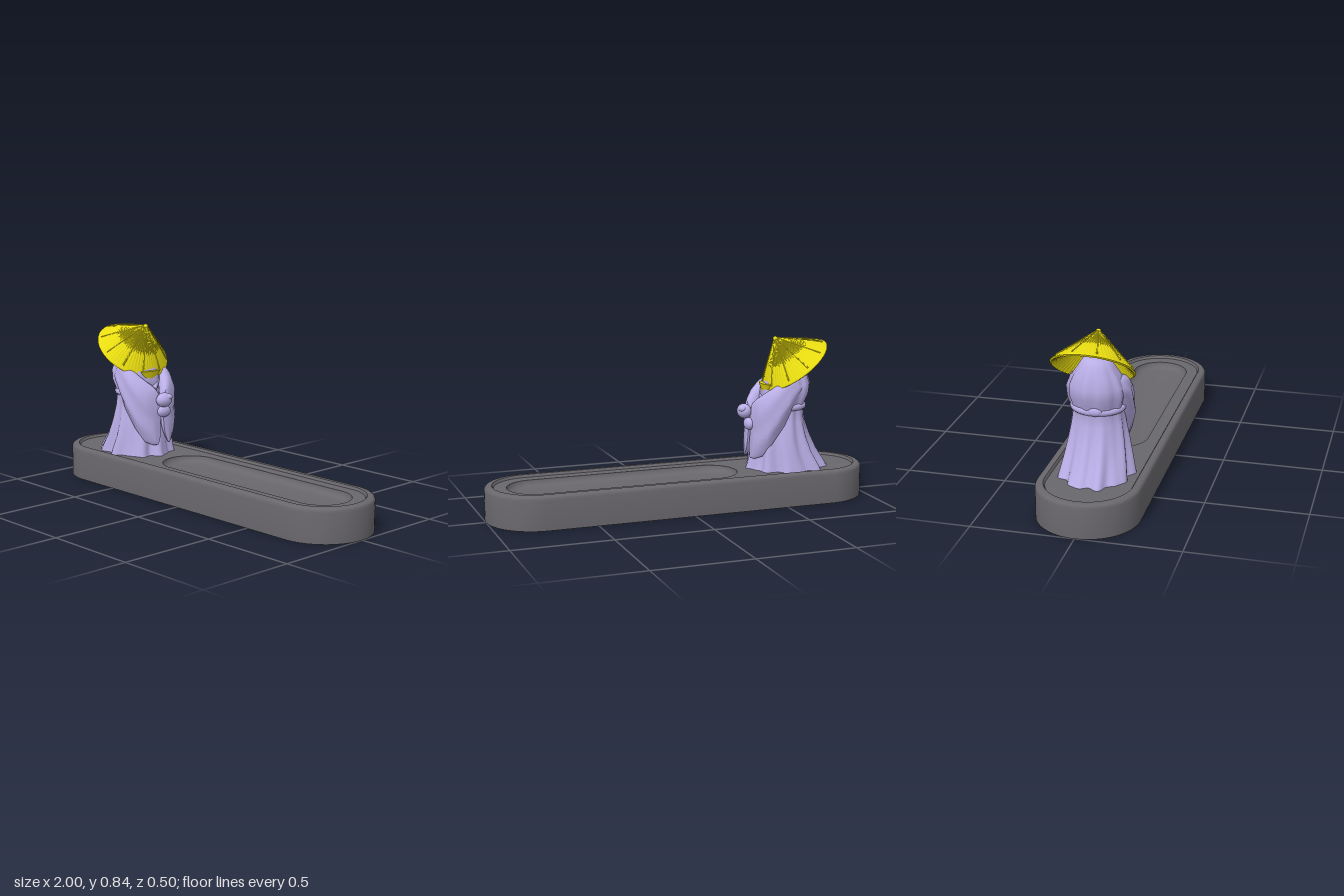
import * as THREE from 'three';
import { toCreasedNormals } from 'three/addons/utils/BufferGeometryUtils.js';

const stone = new THREE.MeshStandardMaterial({ color: 0x69676c });
const cloth = new THREE.MeshStandardMaterial({ color: 0xb9aee6 });
const straw = new THREE.MeshStandardMaterial({ color: 0xe8dc10, side: THREE.DoubleSide });

// Skin a list of closed rings (each a list of Vector3) and cap both ends.
function loft(rings, crease) {
  const n = rings[0].length, pos = [], idx = [];
  rings.forEach(r => r.forEach(p => pos.push(p.x, p.y, p.z)));
  for (let i = 0; i < rings.length - 1; i++) {
    for (let j = 0; j < n; j++) {
      const a = i * n + j, b = i * n + (j + 1) % n, c = a + n, d = b + n;
      idx.push(a, c, b, b, c, d);
    }
  }
  [0, rings.length - 1].forEach((k, end) => {
    const mid = new THREE.Vector3();
    rings[k].forEach(p => mid.addScaledVector(p, 1 / n));
    const m = pos.length / 3;
    pos.push(mid.x, mid.y, mid.z);
    for (let j = 0; j < n; j++) {
      const a = k * n + j, b = k * n + (j + 1) % n;
      if (end) idx.push(m, b, a); else idx.push(m, a, b);
    }
  });
  const g = new THREE.BufferGeometry();
  g.setAttribute('position', new THREE.Float32BufferAttribute(pos, 3));
  g.setIndex(idx);
  return toCreasedNormals(g, crease);
}

function add(parent, name, geometry, material, x = 0, y = 0, z = 0) {
  const mesh = new THREE.Mesh(geometry, material);
  mesh.name = name;
  mesh.position.set(x, y, z);
  parent.add(mesh);
  return mesh;
}

// Stadium outline: centre x, half straight length, end radius, height.
function stadium([cx, half, r, y], n = 64) {
  return Array.from({ length: n }, (_, j) => {
    const t = ((j + 0.5) / n) * Math.PI * 2;
    return new THREE.Vector3(cx + Math.sign(Math.cos(t)) * half + r * Math.cos(t), y, r * Math.sin(t));
  });
}

// Long tray: rounded rim, shallow recess and a scooped trough.
function buildTray() {
  const rows = [[0, 0.75, 0.25, 0], [0, 0.75, 0.25, 0.15]];
  for (let k = 1; k <= 4; k++) {
    const a = (k / 4) * Math.PI / 2;
    rows.push([0, 0.75, 0.23 + 0.02 * Math.cos(a), 0.15 + 0.02 * Math.sin(a)]);
  }
  rows.push([0, 0.75, 0.212, 0.17], [0, 0.75, 0.204, 0.157], [0.29, 0.455, 0.145, 0.157]);
  for (let k = 1; k <= 5; k++) {
    const a = (k / 5) * Math.PI / 2;
    rows.push([0.29, 0.455, 0.145 - 0.045 * (1 - Math.cos(a)), 0.157 - 0.035 * Math.sin(a)]);
  }
  return loft(rows.map(r => stadium(r)), 0.5);
}

// Robe sections: height, centre x, half depth, half width, fold strength.
function buildRobe() {
  const rows = [
    [0.15, -0.6, 0.213, 0.172, 0.06], [0.18, -0.595, 0.198, 0.166, 0.06], [0.25, -0.575, 0.17, 0.153, 0.055],
    [0.33, -0.565, 0.142, 0.14, 0.045], [0.41, -0.565, 0.115, 0.128, 0.03], [0.47, -0.57, 0.105, 0.12, 0.02],
    [0.51, -0.575, 0.112, 0.125, 0.02], [0.55, -0.58, 0.125, 0.135, 0.025], [0.6, -0.59, 0.12, 0.132, 0.025],
    [0.65, -0.595, 0.1, 0.11, 0.02], [0.69, -0.6, 0.085, 0.085, 0.01], [0.73, -0.6, 0.06, 0.06, 0]];
  const n = 96;
  return loft(rows.map(([y, cx, rx, rz, f]) => Array.from({ length: n }, (_, j) => {
    const t = (j / n) * Math.PI * 2;
    const k = 1 + f * (Math.sin(9 * t + 1 + 3 * y) + 0.6 * Math.sin(14 * t - 2 * y));
    return new THREE.Vector3(cx + rx * k * Math.cos(t), y, rz * k * Math.sin(t));
  })), 1.2);
}

// Hanging sleeve sections: centre x, y, z, half height, half width.
function buildSleeve(side) {
  const rows = [
    [-0.63, 0.58, 0.085, 0.045, 0.03], [-0.59, 0.56, 0.1, 0.08, 0.045], [-0.54, 0.51, 0.11, 0.125, 0.047],
    [-0.48, 0.445, 0.104, 0.147, 0.05], [-0.435, 0.395, 0.08, 0.162, 0.055], [-0.405, 0.373, 0.053, 0.155, 0.05],
    [-0.388, 0.365, 0.04, 0.143, 0.034]];
  const n = 40;
  return loft(rows.map(([x, y, z, h, w], i) => Array.from({ length: n }, (_, j) => {
    const t = (j / n) * Math.PI * 2, s = Math.sin(t), c = Math.cos(t);
    // narrower towards the hanging tip, with soft drapery ripples
    const k = (1 + 0.25 * s) * (1 + 0.1 * Math.sin(6 * s + i * 0.9));
    const dz = side * z + w * k * c;
    return new THREE.Vector3(x + 0.012 * Math.max(0, -s), y + h * s, dz);
  })), 1.0);
}

// Conical straw hat with fine pleats, ribs and a tip.
function buildHat() {
  const hat = new THREE.Group();
  hat.name = 'hat';
  const R = 0.2, H = 0.182;
  const profile = [[0.001, 0.155], [0.1, 0.075], [0.182, 0.002], [0.192, -0.005], [R, 0], [0.198, 0.006],
    [0.15, 0.053], [0.1, 0.098], [0.05, 0.142], [0.012, 0.177], [0.001, H]];
  const g = new THREE.LatheGeometry(profile.map(p => new THREE.Vector2(...p)), 120);
  const p = g.attributes.position;
  for (let i = 0; i < p.count; i++) {
    const x = p.getX(i), z = p.getZ(i), r = Math.hypot(x, z);
    const lift = r > 0.03 && r < 0.197 ? 0.0012 * Math.cos(60 * Math.atan2(z, x)) : 0;
    p.setY(i, p.getY(i) + lift);
  }
  add(hat, 'strawCone', toCreasedNormals(g, 0.35), straw);
  const slope = Math.atan2(R, H);
  for (let k = 0; k < 10; k++) {
    const spoke = new THREE.Group();
    spoke.rotation.y = ((k + 0.5) / 10) * Math.PI * 2;
    const rib = add(spoke, 'rib', new THREE.CylinderGeometry(0.0025, 0.004, 0.235, 6), straw, 0.1, 0.097, 0);
    rib.rotation.z = slope;
    hat.add(spoke);
  }
  add(hat, 'tip', new THREE.SphereGeometry(0.013, 16, 10), straw, 0, 0.178, 0);
  hat.position.set(-0.63, 0.687, -0.01);
  hat.rotation.z = -0.652;
  return hat;
}

export function createModel() {
  const model = new THREE.Group();
  add(model, 'tray', buildTray(), stone);

  const figure = new THREE.Group();
  figure.name = 'figure';
  model.add(figure);
  add(figure, 'robe', buildRobe(), cloth);
  for (const side of [1, -1]) add(figure, side > 0 ? 'leftSideSleeve' : 'rightSideSleeve', buildSleeve(side), cloth);

  // Sash with a knot at the back
  const sash = add(figure, 'sash', new THREE.TorusGeometry(1, 0.13, 10, 48), cloth, -0.572, 0.485, 0);
  sash.rotation.x = Math.PI / 2;
  sash.scale.set(0.104, 0.118, 0.13);
  add(figure, 'knot', new THREE.SphereGeometry(0.026, 16, 12), cloth, -0.675, 0.49, 0.01).scale.set(0.7, 0.9, 1.4);

  // Head, hidden below the hat, and crossed collar
  add(figure, 'head', new THREE.SphereGeometry(0.08, 24, 16), cloth, -0.58, 0.65, 0);
  for (const side of [1, -1]) {
    const path = new THREE.CatmullRomCurve3([[-0.57, 0.62, 0.1], [-0.5, 0.57, 0.07], [-0.455, 0.5, 0.005]]
      .map(([x, y, z]) => new THREE.Vector3(x, y, z * side)));
    add(figure, 'collar', new THREE.TubeGeometry(path, 16, 0.016, 8), cloth);
  }
  // Straw chin piece
  const chin = add(figure, 'chinPiece', new THREE.ConeGeometry(0.065, 0.1, 20), straw, -0.475, 0.55, 0);
  chin.rotation.x = Math.PI;
  chin.scale.x = 0.4;

  // Clasped hands
  const fists = [[-0.36, 0.46, 0.008, 0.036, 0.038, 0.047], [-0.38, 0.395, -0.008, 0.025, 0.032, 0.042],
    [-0.345, 0.475, -0.008, 0.02, 0.018, 0.024]];
  for (const [x, y, z, a, b, c] of fists) {
    add(figure, 'hand', new THREE.SphereGeometry(1, 18, 12), cloth, x, y, z).scale.set(a, b, c);
  }
  figure.add(buildHat());
  return model;
}
